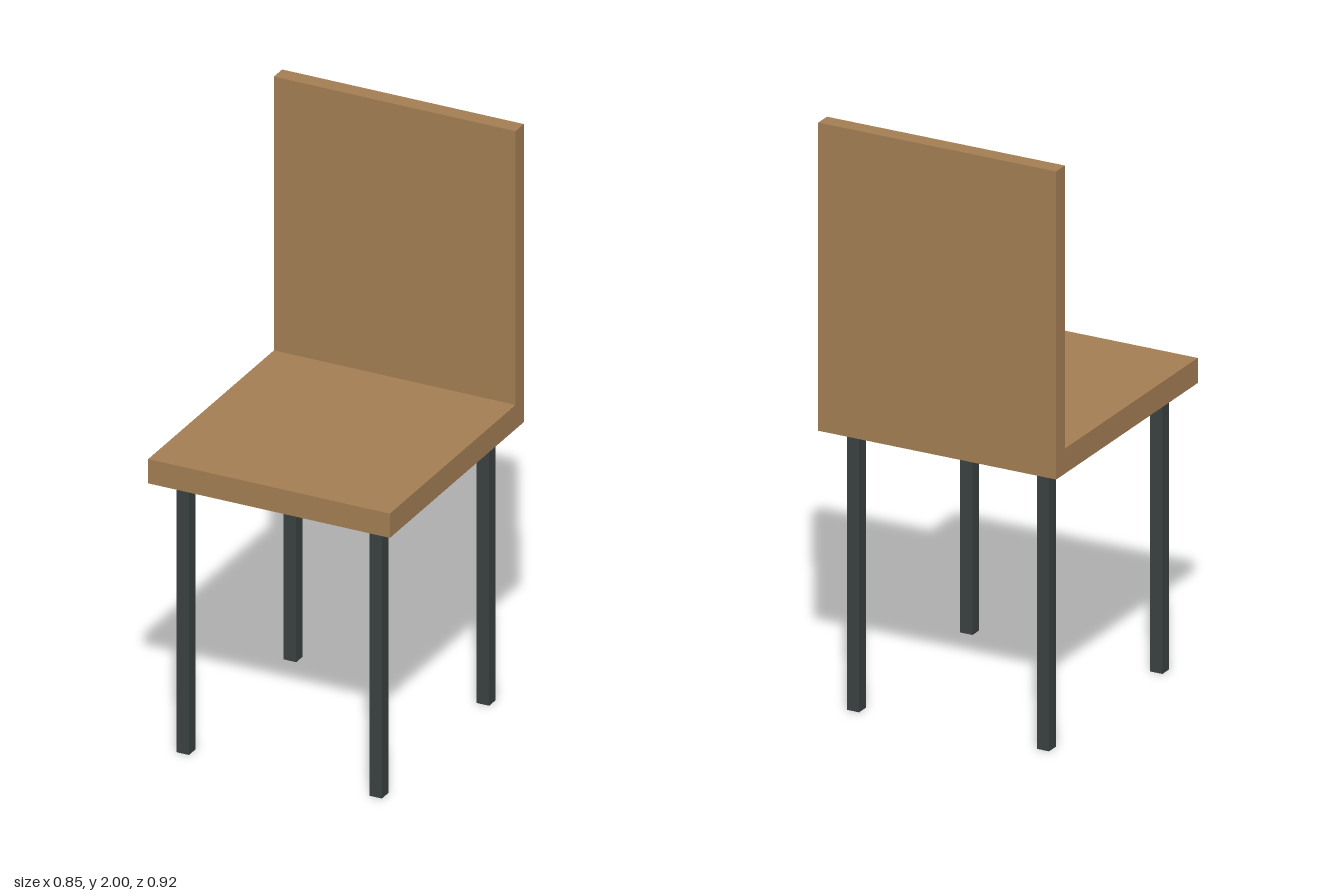
import * as THREE from 'three';

export function createModel() {
  const wood = new THREE.MeshStandardMaterial({ color: 0xa47e54 });
  wood.name = 'wood';
  const darkMetal = new THREE.MeshStandardMaterial({ color: 0x3a4141 });
  darkMetal.name = 'dark metal';

  const chair = new THREE.Group();
  chair.name = 'chair';

  const width = 0.852, halfDepth = 0.462;
  const seatBottom = 0.957, seatTop = 1.042, backFront = 0.405;

  // Seat and backrest: one L-shaped side profile extruded across the width
  const profile = new THREE.Shape([
    [-halfDepth, seatBottom],
    [halfDepth, seatBottom],
    [halfDepth, 2],
    [backFront, 2],
    [backFront, seatTop],
    [-halfDepth, seatTop],
  ].map(([x, y]) => new THREE.Vector2(x, y)));
  const shell = new THREE.ExtrudeGeometry(profile, { depth: width, bevelEnabled: false });
  shell.translate(0, 0, -width / 2);
  shell.rotateY(Math.PI / 2); // profile x becomes -z, so the back is at the rear
  const seatAndBack = new THREE.Mesh(shell, wood);
  seatAndBack.name = 'seatAndBack';
  chair.add(seatAndBack);

  // Four square legs, mirrored about the centre
  const legGeometry = new THREE.BoxGeometry(0.044, seatBottom, 0.044);
  for (const [endName, z] of [['front', 0.37], ['back', -0.37]]) {
    for (const [sideName, x] of [['Left', 0.34], ['Right', -0.34]]) {
      const leg = new THREE.Mesh(legGeometry, darkMetal);
      leg.name = `${endName}${sideName}Leg`;
      leg.position.set(x, seatBottom / 2, z);
      chair.add(leg);
    }
  }
  return chair;
}
